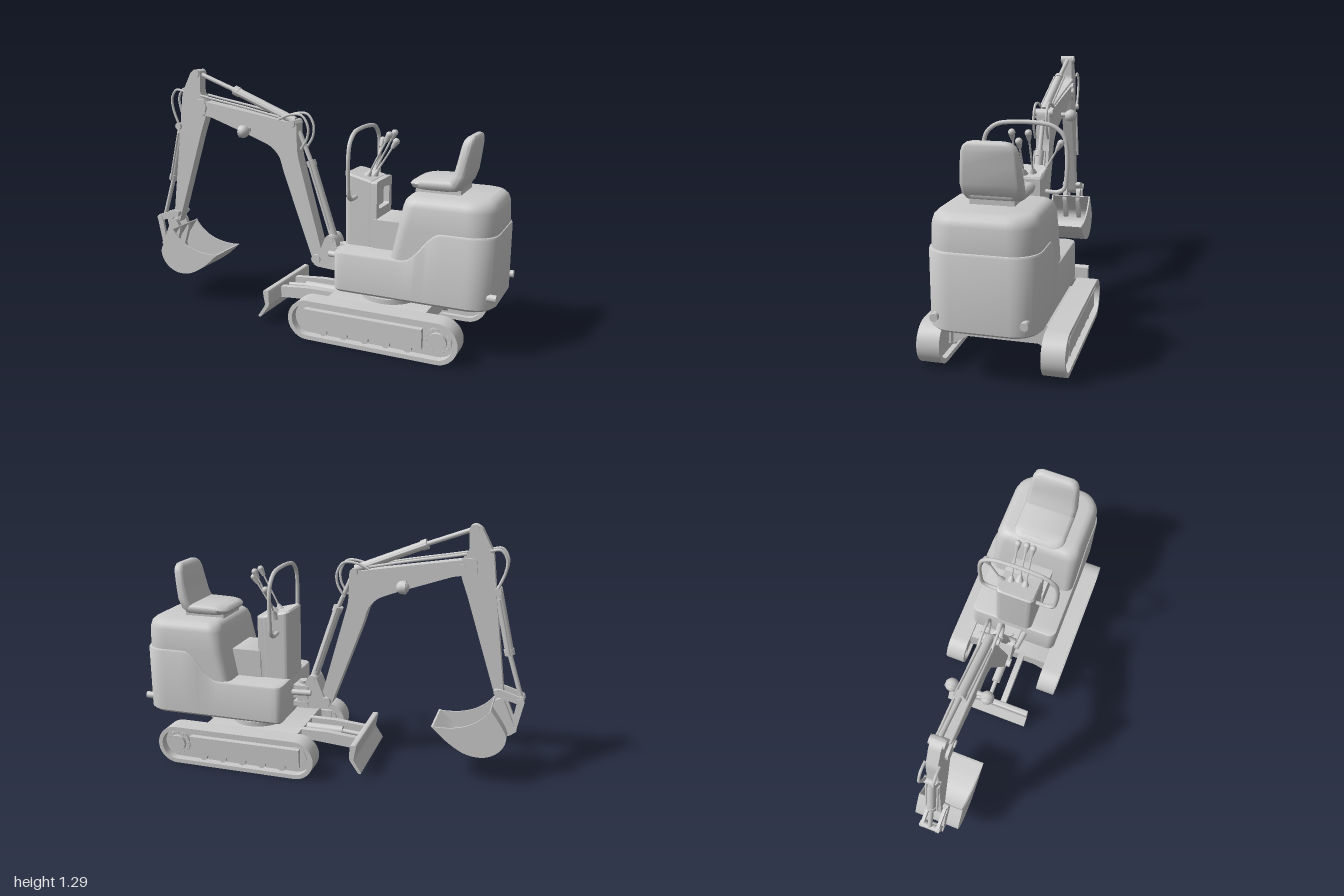
import * as THREE from 'three';
import { toCreasedNormals } from 'three/addons/utils/BufferGeometryUtils.js';

const grey = new THREE.MeshStandardMaterial({ color: 0xcccccc });
const thin = new THREE.MeshStandardMaterial({ color: 0xcccccc, side: THREE.DoubleSide });
const V = (x, y, z = 0) => new THREE.Vector3(x, y, z);

export function createModel() {
  const model = new THREE.Group();
  model.name = 'miniExcavator';
  const add = (name, geo, mat = grey) => {
    const m = new THREE.Mesh(geo, mat);
    m.name = name;
    model.add(m);
    return m;
  };
  const box = (name, x0, x1, y0, y1, z0, z1) =>
    add(name, new THREE.BoxGeometry(x1 - x0, y1 - y0, z1 - z0)).position.set((x0 + x1) / 2, (y0 + y1) / 2, (z0 + z1) / 2);
  // Cylinder between two points
  const rod = (name, a, b, r, r2 = r, n = 20) => {
    const m = add(name, new THREE.CylinderGeometry(r2, r, a.distanceTo(b), n));
    m.position.copy(a).lerp(b, 0.5);
    m.quaternion.setFromUnitVectors(V(0, 1, 0), b.clone().sub(a).normalize());
    return m;
  };
  const pin = (name, x, y, r, z0, z1) => rod(name, V(x, y, z0), V(x, y, z1), r);
  const tube = (name, pts, r, n = 32) =>
    add(name, new THREE.TubeGeometry(new THREE.CatmullRomCurve3(pts.map(p => V(...p)), false, 'centripetal'), n, r, 8), thin);
  // Outline with softened corners
  const outline = (pts, r = 0.02, Type = THREE.Shape) => {
    const p = pts.map(q => new THREE.Vector2(...q)), n = p.length, s = new Type();
    p.forEach((c, i) => {
      const prev = p[(i + n - 1) % n], next = p[(i + 1) % n];
      const cut = q => c.clone().lerp(q, Math.min(0.48, r / c.distanceTo(q)));
      const a = cut(prev), b = cut(next);
      i ? s.lineTo(a.x, a.y) : s.moveTo(a.x, a.y);
      s.quadraticCurveTo(c.x, c.y, b.x, b.y);
    });
    s.closePath();
    return s;
  };
  // Side-view plate, z0 to z1
  const plate = (name, shape, z0, z1) => {
    const g = new THREE.ExtrudeGeometry(shape, { depth: z1 - z0, bevelEnabled: false, curveSegments: 10 });
    return add(name, toCreasedNormals(g.translate(0, 0, z0), 0.6));
  };
  // Plan-view rounded rectangle ring
  const ring = (y, x0, x1, hz, rf, rr = rf) => {
    const out = [];
    [[x1 - rr, hz - rr, rr], [x0 + rf, hz - rf, rf], [x0 + rf, rf - hz, rf], [x1 - rr, rr - hz, rr]].forEach(([cx, cz, r], q) => {
      for (let k = 0; k <= 8; k++) {
        const a = (q + k / 8) * Math.PI / 2;
        out.push(V(cx + r * Math.cos(a), y, cz + r * Math.sin(a)));
      }
      // Extra points along the long sides
      if (q % 2 === 0) for (let k = 1; k < 24; k++) {
        const s = q ? -1 : 1, t = k / 24, xa = x1 - rr, xb = x0 + rf;
        out.push(V(s > 0 ? xa + (xb - xa) * t : xb + (xa - xb) * t, y, s * hz));
      }
    });
    return out;
  };
  // Closed skin through rising rings
  const loft = (name, rings, crease = 0.6) => {
    const flat = r => r.map(p => V(p.x, p.y, 0));
    const all = [flat(rings[0]), ...rings, flat(rings[rings.length - 1])], n = rings[0].length, idx = [];
    for (let j = 0; j < all.length - 1; j++) for (let i = 0; i < n; i++) {
      const k = (i + 1) % n, a = j * n + i, b = j * n + k;
      idx.push(a, a + n, b, b, a + n, b + n);
    }
    const g = new THREE.BufferGeometry().setFromPoints(all.flat());
    g.setIndex(idx);
    return add(name, toCreasedNormals(g, crease));
  };

  // Tracks
  const stadium = (r, Type = THREE.Shape) => {
    const s = new Type();
    s.absarc(0.765, 0.103, r, -Math.PI / 2, Math.PI / 2, false);
    s.absarc(0.102, 0.103, r, Math.PI / 2, Math.PI * 1.5, false);
    s.closePath();
    return s;
  };
  for (const s of [1, -1]) {
    const zz = (a, b) => s > 0 ? [a, b] : [-b, -a];
    const belt = stadium(0.102);
    belt.holes.push(stadium(0.08, THREE.Path));
    plate('trackBelt', belt, ...zz(0.23, 0.337));
    plate('trackWeb', stadium(0.081), ...zz(0.255, 0.295));
    box('trackFrame', 0.08, 0.69, 0.055, 0.15, ...zz(0.24, 0.32));
    box('trackFrameRail', 0.08, 0.69, 0.142, 0.155, ...zz(0.24, 0.326));
    pin('sprocket', 0.765, 0.105, 0.066, ...zz(0.245, 0.308));
    pin('sprocketHub', 0.765, 0.105, 0.045, ...zz(0.245, 0.325));
    pin('idler', 0.102, 0.103, 0.055, ...zz(0.245, 0.3));
    for (let i = 0; i < 12; i++) {
      const a = i * Math.PI / 6;
      pin('sprocketBolt', 0.765 + 0.056 * Math.cos(a), 0.105 + 0.056 * Math.sin(a), 0.005, ...zz(0.3, 0.314));
    }
    for (let i = 0; i < 5; i++) pin('roller', 0.18 + i * 0.11, 0.042, 0.02, ...zz(0.24, 0.31));
  }

  // Undercarriage and slew ring
  const belly = outline([[-0.24, 0.04], [-0.17, 0.085], [0.17, 0.085], [0.24, 0.04], [0.24, 0.175], [-0.24, 0.175]], 0.004);
  plate('undercarriage', belly, 0.14, 0.66).rotation.y = Math.PI / 2;
  rod('slewRing', V(0.42, 0.15, 0), V(0.42, 0.25, 0), 0.13, 0.13, 40);
  rod('slewBase', V(0.42, 0.15, 0), V(0.42, 0.2, 0), 0.145, 0.145, 40);

  // Dozer blade
  plate('blade', outline([[-0.2, 0.18], [-0.165, 0.18], [-0.163, 0.1], [-0.215, 0.027], [-0.23, 0.032], [-0.185, 0.1]], 0.012), -0.24, 0.24);
  for (const z of [-0.085, 0.085])
    plate('bladeArm', outline([[-0.18, 0.1], [0.16, 0.125], [0.16, 0.175], [0, 0.175], [-0.18, 0.16]], 0.006), z - 0.016, z + 0.016);
  rod('bladeCylinder', V(-0.06, 0.15), V(0.16, 0.15), 0.024);
  rod('bladeRod', V(-0.18, 0.14), V(-0.06, 0.15), 0.012);

  // Lower body, its upper edge sweeping up towards the rear
  const edge = x => 0.45 + 0.15 * THREE.MathUtils.smoothstep(x, 0.56, 0.74);
  const top = (inset, dy) => ring(0, 0.2 + inset, 0.99 - inset, 0.248 - inset, 0.04, 0.12).map(p => V(p.x, edge(p.x) + dy, p.z));
  loft('lowerBody', [ring(0.245, 0.212, 0.975, 0.235, 0.03, 0.11), ring(0.258, 0.2, 0.99, 0.248, 0.04, 0.12), top(0, -0.012), top(0.004, -0.003), top(0.012, 0)]);
  // Rear hood
  loft('hood', [ring(0.3, 0.47, 0.982, 0.24, 0.04, 0.12), ring(0.45, 0.49, 0.982, 0.24, 0.045, 0.12),
    ring(0.6, 0.52, 0.982, 0.24, 0.055, 0.12), ring(0.705, 0.54, 0.978, 0.236, 0.06, 0.12), ring(0.733, 0.549, 0.968, 0.226, 0.06, 0.11),
    ring(0.75, 0.565, 0.95, 0.208, 0.055, 0.1), ring(0.756, 0.585, 0.925, 0.185, 0.05, 0.08)], 0.8);
  plate('seatStep', outline([[0.36, 0.44], [0.56, 0.44], [0.56, 0.595], [0.36, 0.595]], 0.008), -0.115, 0.115);
  for (const z of [-0.195, 0.195]) rod('rearBumper', V(0.94, 0.312, z), V(1, 0.312, z), 0.018);

  // Seat
  box('seatPan', 0.57, 0.79, 0.75, 0.78, -0.1, 0.1);
  const tilt = (y, inset) => ring(y, 0.54 + inset, 0.8 - inset, 0.14 - inset, 0.06, 0.05)
    .map(p => V(p.x, p.y + (p.x - 0.56) * (y - 0.77) * 0.8 + (y > 0.79 ? Math.max(0, Math.abs(p.z) - 0.09) * 0.15 : 0), p.z));
  loft('seatCushion', [tilt(0.77, 0.03), tilt(0.778, 0.008), tilt(0.793, 0), tilt(0.805, 0.006), tilt(0.814, 0.022)], 0.9);
  loft('seatBack', [[0.775, 0.72, 0.775, 0.125], [0.8, 0.725, 0.803, 0.139], [0.85, 0.755, 0.82, 0.141], [0.93, 0.773, 0.832, 0.133],
    [0.99, 0.785, 0.84, 0.125], [1.015, 0.793, 0.841, 0.115], [1.03, 0.804, 0.838, 0.095], [1.036, 0.815, 0.83, 0.07]]
    .map(([y, x0, x1, hz]) => ring(y, x0, x1, hz, (x1 - x0) * 0.45)), 0.9);

  // Control console with a pocket facing the seat
  const slope = (y, i) => ring(y, 0.202 + i, 0.345, 0.105 - i, 0.03, 0.004).map(p => V(p.x, y > 0.5 ? y - (p.x - 0.2) * 0.25 : y, p.z));
  loft('console', [slope(0.44, 0), slope(0.81, 0), slope(0.82, 0.008)]);
  const panel = outline([[-0.105, 0.44], [0.105, 0.44], [0.105, 0.782], [-0.105, 0.782]], 0.012);
  panel.holes.push(outline([[-0.07, 0.64], [0.07, 0.64], [0.07, 0.74], [-0.07, 0.74]], 0.01, THREE.Path));
  plate('consolePanel', panel, 0.34, 0.375).rotation.y = Math.PI / 2;
  // Hand rail
  tube('handRail', [[0.265, 0.7, 0.1], [0.265, 0.7, 0.17], [0.265, 0.72, 0.198], [0.265, 0.78, 0.208], [0.265, 0.92, 0.208], [0.265, 0.98, 0.19],
    [0.265, 1.02, 0.14], [0.265, 1.033, 0.07], [0.265, 1.033, -0.07], [0.265, 1.02, -0.14], [0.265, 0.98, -0.19], [0.265, 0.92, -0.208],
    [0.265, 0.78, -0.208], [0.265, 0.72, -0.198], [0.265, 0.7, -0.17], [0.265, 0.7, -0.1]], 0.011, 90);
  // Levers
  for (const [x0, z0, x1, y1, z1] of [[0.29, -0.05, 0.385, 0.97, -0.055], [0.29, 0.03, 0.385, 0.97, 0.025], [0.31, -0.01, 0.405, 0.935, -0.015], [0.28, -0.09, 0.29, 0.91, -0.165]]) {
    const a = V(x0, 0.78, z0), b = V(x1, y1, z1), d = b.clone().sub(a).normalize();
    rod('leverBoot', a, a.clone().addScaledVector(d, 0.045), 0.026, 0.007);
    rod('lever', a, b, 0.005);
    rod('leverKnob', b, b.clone().addScaledVector(d, 0.04), 0.009, 0.017);
    add('leverCap', new THREE.SphereGeometry(0.017, 14, 10)).position.copy(b).addScaledVector(d, 0.04);
  }

  // Swing post
  plate('swingPost', outline([[0, 0.3], [0.02, 0.285], [0.18, 0.275], [0.18, 0.34], [0.135, 0.37], [0.135, 0.43], [0.11, 0.465], [0.075, 0.46], [0.04, 0.37]], 0.018), -0.05, 0.05);
  for (const y of [0.3, 0.345, 0.39]) {
    box('swingLug', 0.12, 0.22, y - 0.013, y + 0.013, -0.055, 0.055);
    rod('swingLugNose', V(0.135, y - 0.013, 0), V(0.135, y + 0.013, 0), 0.055);
  }
  rod('swingPin', V(0.16, 0.275, 0), V(0.16, 0.42, 0), 0.025);
  for (const s of [1, -1]) rod('swingCylinder', V(0.1, 0.37, s * 0.06), V(0.22, 0.37, s * 0.075), 0.016);

  // Boom
  plate('boom', outline([[-0.695, 1.125], [-0.63, 1.115], [-0.14, 1.035], [-0.1, 1.045], [-0.1, 0.98], [-0.095, 0.87], [0.06, 0.31], [0.0, 0.295],
    [-0.175, 0.77], [-0.2, 0.855], [-0.25, 0.905], [-0.34, 0.94], [-0.63, 1.04], [-0.69, 1.045]], 0.03), -0.036, 0.036);
  // Dipper arm
  plate('dipperArm', outline([[-0.74, 1.285], [-0.685, 1.29], [-0.69, 1.16], [-0.645, 1.11], [-0.66, 1.03], [-0.69, 0.95], [-0.86, 0.42],
    [-0.9, 0.41], [-0.83, 0.95], [-0.805, 1.16]], 0.025), -0.028, 0.028);
  for (const s of [1, -1]) plate('armCheek', outline([[-0.735, 1.13], [-0.65, 1.13], [-0.65, 1.04], [-0.735, 1.03]], 0.035), ...(s > 0 ? [0.026, 0.043] : [-0.043, -0.026]));
  for (const [x, y, r, z] of [[-0.66, 1.085, 0.018, 0.05], [-0.71, 1.268, 0.022, 0.038], [-0.125, 1.03, 0.02, 0.05], [0.02, 0.325, 0.025, 0.06],
    [0.1, 0.44, 0.018, 0.056], [-0.835, 0.975, 0.018, 0.042], [-0.88, 0.43, 0.015, 0.055], [-0.98, 0.438, 0.016, 0.055], [-0.955, 0.29, 0.015, 0.055], [-0.86, 0.475, 0.014, 0.055]])
    pin('pivotPin', x, y, r, -z, z);

  // Hydraulic cylinders: fixed end, gland, rod end
  for (const [name, a, m, b] of [['dipper', V(-0.125, 1.04), V(-0.485, 1.185), V(-0.71, 1.268)],
    ['lift', V(0.1, 0.44), V(-0.035, 0.84), V(-0.1, 0.99)], ['bucket', V(-0.835, 0.975), V(-0.91, 0.66), V(-0.98, 0.438)]]) {
    const d = b.clone().sub(a).normalize(), g = m.clone().addScaledVector(d, -0.03);
    rod(name + 'Barrel', a, m, 0.022);
    rod(name + 'Gland', g, m, 0.026);
    rod(name + 'Rod', m, b, 0.012);
    for (const z of [0.028, -0.028]) rod(name + 'Pipe', a.clone().lerp(m, 0.12).setZ(z), m.clone().setZ(z), 0.006, 0.006, 8);
  }
  // Hoses
  for (const z of [0.034, -0.034]) {
    tube('boomHose', [[-0.2, 1.05, z], [-0.14, 1.075, z], [-0.07, 1.075, z], [-0.035, 1.02, z], [-0.04, 0.96, z], [-0.075, 0.9, z]], 0.007);
    tube('armHose', [[-0.79, 1.17, z], [-0.84, 1.175, z], [-0.87, 1.13, z], [-0.865, 1.07, z], [-0.835, 0.99, z]], 0.007);
    tube('topHose', [[-0.68, 1.15, z], [-0.6, 1.135, z], [-0.4, 1.1, z], [-0.2, 1.06, z]], 0.007);
  }
  // Work lamps
  for (const s of [1, -1]) {
    rod('lampStem', V(-0.38, 0.985, s * 0.03), V(-0.38, 0.985, s * 0.07), 0.012);
    rod('lampRim', V(-0.402, 0.98, s * 0.088), V(-0.38, 0.98, s * 0.088), 0.033);
    add('lampBowl', new THREE.SphereGeometry(0.033, 18, 12)).position.set(-0.385, 0.98, s * 0.088);
  }

  // Bucket linkage
  for (const z of [0.042, -0.042]) {
    plate('guideLink', outline([[-1, 0.43], [-0.99, 0.455], [-0.87, 0.492], [-0.843, 0.478], [-0.855, 0.455], [-0.98, 0.42]], 0.015), z - 0.008, z + 0.008);
    plate('pushLink', outline([[-1, 0.445], [-0.965, 0.445], [-0.94, 0.29], [-0.965, 0.275]], 0.015), z - 0.008, z + 0.008);
    plate('bucketEar', outline([[-0.975, 0.285], [-0.95, 0.32], [-0.9, 0.44], [-0.865, 0.445], [-0.84, 0.38], [-0.88, 0.25], [-0.93, 0.25]], 0.018), z - 0.012, z + 0.012);
  }
  // Bucket
  const back = new THREE.SplineCurve([[-0.845, 0.405], [-0.915, 0.3], [-0.925, 0.245], [-0.89, 0.185], [-0.82, 0.15], [-0.73, 0.158], [-0.64, 0.21], [-0.555, 0.285]]
    .map(p => new THREE.Vector2(...p))).getPoints(40);
  const side = new THREE.Shape(back);
  side.quadraticCurveTo(-0.76, 0.27, -0.845, 0.405);
  for (const z of [0.114, -0.122]) plate('bucketSide', side, z, z + 0.008);
  const shell = new THREE.Shape([...back, ...back.slice().reverse().map((p, i) => {
    const t = 1 - i / 40, c = new THREE.Vector2(-0.755, 0.33);
    return p.clone().lerp(c, 0.05 + 0.02 * Math.sin(Math.PI * t));
  })]);
  plate('bucketShell', shell, -0.122, 0.122).material = thin;
  return model;
}
